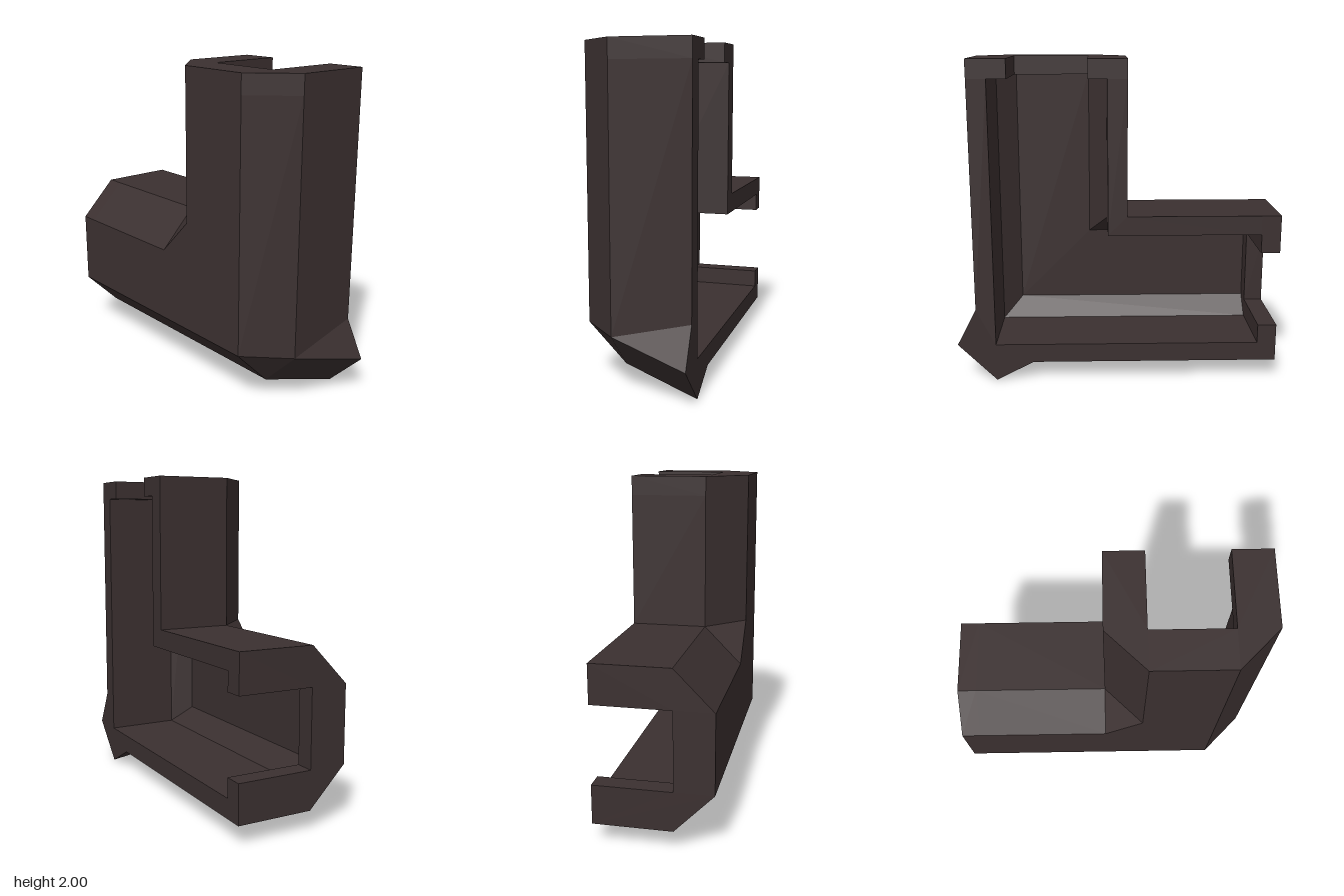
import * as THREE from 'three';

const BACK = -0.35, MID = 0.118, FRONT = 0.35;
const CX = 0.41;      // centre line of the upright arm
const WALL = 0.117;
const END = 2 - WALL; // where the end plates begin

// Upright-arm outlines, right to left: [x offset, z, y at the elbow]
const outer = [
  [0.47, BACK, 0.47], [0.47, MID, 0.355], [0.235, FRONT, 0.355],
  [-0.235, FRONT, 1.06], [-0.47, MID, 1.06], [-0.47, BACK, 1.06],
];
const inner = [
  [0.352, BACK], [0.352, MID], [0.235, 0.235],
  [-0.235, 0.235], [-0.352, MID], [-0.352, BACK],
].map(([u, z]) => [u, z, 0.59 - u]);

// Flat-shaded geometry from convex polygons
function polygons(faces) {
  const pos = [];
  for (const f of faces)
    for (let i = 1; i < f.length - 1; i++) pos.push(...f[0], ...f[i], ...f[i + 1]);
  const g = new THREE.BufferGeometry();
  g.setAttribute('position', new THREE.Float32BufferAttribute(pos, 3));
  g.computeVertexNormals();
  return g;
}

// Reflect across the elbow's diagonal: the upright arm becomes the level arm
const reflect = (f) => f.map(([x, y, z]) => [1 - y, 1 - x, z]).reverse();
const withMirror = (faces) => [...faces, ...faces.map(reflect)];

// Long strips running from the end plate down to the elbow
function strips(ring) {
  const faces = [];
  for (let i = 0; i < ring.length - 1; i++) {
    const [ua, za, ya] = ring[i], [ub, zb, yb] = ring[i + 1];
    faces.push([[CX + ua, END, za], [CX + ub, END, zb], [CX + ub, yb, zb], [CX + ua, ya, za]]);
  }
  return faces;
}

// Channel end plate with a rectangular notch open to the back
function endPlateGeometry() {
  const s = new THREE.Shape();
  const pts = [...outer.map(([u, z]) => [u, z]),
    [-0.235, BACK], [-0.235, MID], [0.235, MID], [0.235, BACK]];
  pts.forEach(([u, z], i) => (i ? s.lineTo(u, -z) : s.moveTo(u, -z)));
  s.closePath();
  const g = new THREE.ExtrudeGeometry(s, { depth: WALL, bevelEnabled: false });
  g.rotateX(-Math.PI / 2);
  return g;
}

export function createModel() {
  const group = new THREE.Group();
  const brown = new THREE.MeshStandardMaterial({ color: 0x3b3030 });
  brown.name = 'darkBrown';
  const add = (name, geometry) => {
    const m = new THREE.Mesh(geometry, brown);
    m.name = name;
    group.add(m);
    return m;
  };

  // Outer shell and hollow channel of both arms
  add('outerShell', polygons(withMirror(strips(outer))));
  add('innerChannel', polygons(withMirror(strips(inner)).map((f) => f.slice().reverse())));

  // Facets joining the arms at the elbow, with the flared outer corner
  const p1 = [0.88, 0.355, MID], p2 = [0.645, 0.12, MID];
  const p3 = [1, 0.24, BACK], p4 = [0.76, 0, BACK], p5 = [0.88, 0.47, BACK];
  add('elbowFacets', polygons([
    [[0.645, 0.355, FRONT], [0.175, 1.06, FRONT], [-0.06, 0.825, FRONT]],
    [[-0.06, 1.06, MID], [-0.06, 0.825, FRONT], [0.175, 1.06, FRONT]],
    [[0.645, 0.355, FRONT], p2, p1],
    [p1, p2, p4, p3],
    ...withMirror([[p1, p3, p5]]),
  ]));

  // Flat rim around the open back
  const b = (x, y) => [x, y, BACK];
  add('backRim', polygons(withMirror([
    [b(0.762, END), b(0.88, END), p5, b(0.762, 0.238)],
    [b(0.762, 0.238), p5, p3, b(0.88, 0.12)],
    [b(-0.06, END), b(0.058, END), b(0.058, 0.942), b(-0.06, 1.06)],
  ])));

  // Notched end plates
  const plate = endPlateGeometry();
  add('topEndPlate', plate).position.set(CX, END, 0);
  const side = add('sideEndPlate', plate);
  side.rotation.z = Math.PI / 2;
  side.position.set(1 - END, 0.59, 0);

  return group;
}
